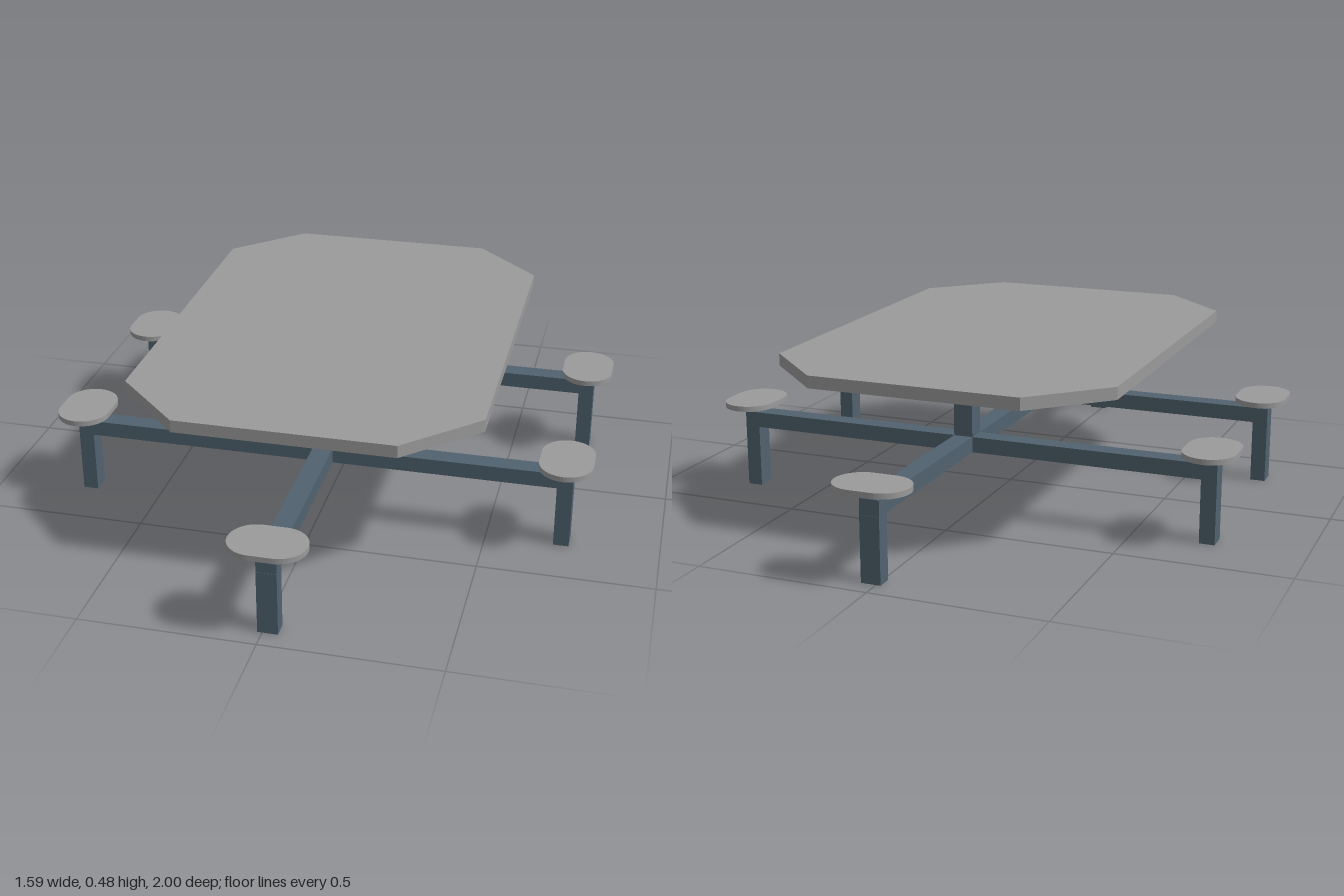
import * as THREE from 'three';

const top = new THREE.MeshStandardMaterial({ color: 0x9a9a9a });
const steel = new THREE.MeshStandardMaterial({ color: 0x50626e, side: THREE.DoubleSide });

const SPINE_X = 0.015;   // the long beam sits slightly off centre
const CROSS_Z = 0.307;   // cross beams
const BEAM_LOW = 0.187, BEAM_TOP = 0.233, TUBE = 0.057;
const SEAT_LOW = 0.255, SEAT_TOP = 0.271;
const TABLE_LOW = 0.441, TABLE_TOP = 0.477;

function add(parent, name, geometry, material, x = 0, y = 0, z = 0) {
  const mesh = new THREE.Mesh(geometry, material);
  mesh.name = name;
  mesh.position.set(x, y, z);
  parent.add(mesh);
}

// Box spanning y0..y1
function block(parent, name, material, w, d, y0, y1, x = 0, z = 0) {
  add(parent, name, new THREE.BoxGeometry(w, y1 - y0, d), material, x, (y0 + y1) / 2, z);
}

// Flat outline in x/z, extruded upward from y = 0
function slab(shape, thickness) {
  return new THREE.ExtrudeGeometry(shape, { depth: thickness, bevelEnabled: false, curveSegments: 12 })
    .rotateX(-Math.PI / 2);
}

// Rectangular tube leg with its foot left open
function openLeg(w, d, h) {
  const geometry = new THREE.BoxGeometry(w, h, d);
  const index = Array.from(geometry.index.array);
  index.splice(18, 6);
  geometry.setIndex(index);
  geometry.clearGroups();
  return geometry;
}

// Stadium outline, long side across the beam
function seatShape() {
  const r = 0.0765, s = 0.0325;
  const shape = new THREE.Shape();
  shape.moveTo(-s, -r);
  shape.lineTo(s, -r);
  shape.absarc(s, 0, r, -Math.PI / 2, Math.PI / 2, false);
  shape.lineTo(-s, r);
  shape.absarc(-s, 0, r, Math.PI / 2, Math.PI * 1.5, false);
  return shape;
}

// Leg, stem and seat at a beam end; the beam runs along local z
function seatUnit(name, x, z, turn) {
  const unit = new THREE.Group();
  unit.name = name;
  unit.position.set(x, 0, z);
  unit.rotation.y = turn;
  add(unit, 'leg', openLeg(TUBE, 0.045, BEAM_LOW), steel, 0, BEAM_LOW / 2, 0);
  block(unit, 'seatStem', top, 0.045, 0.038, BEAM_TOP, SEAT_LOW);
  add(unit, 'seat', slab(seatShape(), SEAT_TOP - SEAT_LOW), top, 0, SEAT_LOW, 0);
  return unit;
}

export function createModel() {
  const model = new THREE.Group();
  model.name = 'picnicTable';

  // Tabletop with clipped corners
  const outline = new THREE.Shape([
    [0.31, -0.715], [0.51, -0.518], [0.51, 0.518], [0.31, 0.715],
    [-0.31, 0.715], [-0.51, 0.518], [-0.51, -0.518], [-0.31, -0.715],
  ].map(([x, y]) => new THREE.Vector2(x, y)));
  add(model, 'tabletop', slab(outline, TABLE_TOP - TABLE_LOW), top, 0, TABLE_LOW, 0);

  // Long beam with a seat at each end
  block(model, 'longBeam', steel, TUBE, 1.888, BEAM_LOW, BEAM_TOP, SPINE_X, 0);
  model.add(seatUnit('frontSeat', SPINE_X, 0.9225, 0));
  model.add(seatUnit('backSeat', SPINE_X, -0.9225, Math.PI));

  // Cross beams, posts and side seats
  for (const [side, z] of [['front', CROSS_Z], ['back', -CROSS_Z]]) {
    block(model, side + 'CrossBeam', steel, 1.484, TUBE, BEAM_LOW, BEAM_TOP, 0, z);
    block(model, side + 'Post', steel, TUBE, TUBE, BEAM_TOP, TABLE_LOW, SPINE_X, z);
    model.add(seatUnit(side + 'LeftSeat', 0.7195, z, Math.PI / 2));
    model.add(seatUnit(side + 'RightSeat', -0.7195, z, -Math.PI / 2));
  }
  return model;
}
